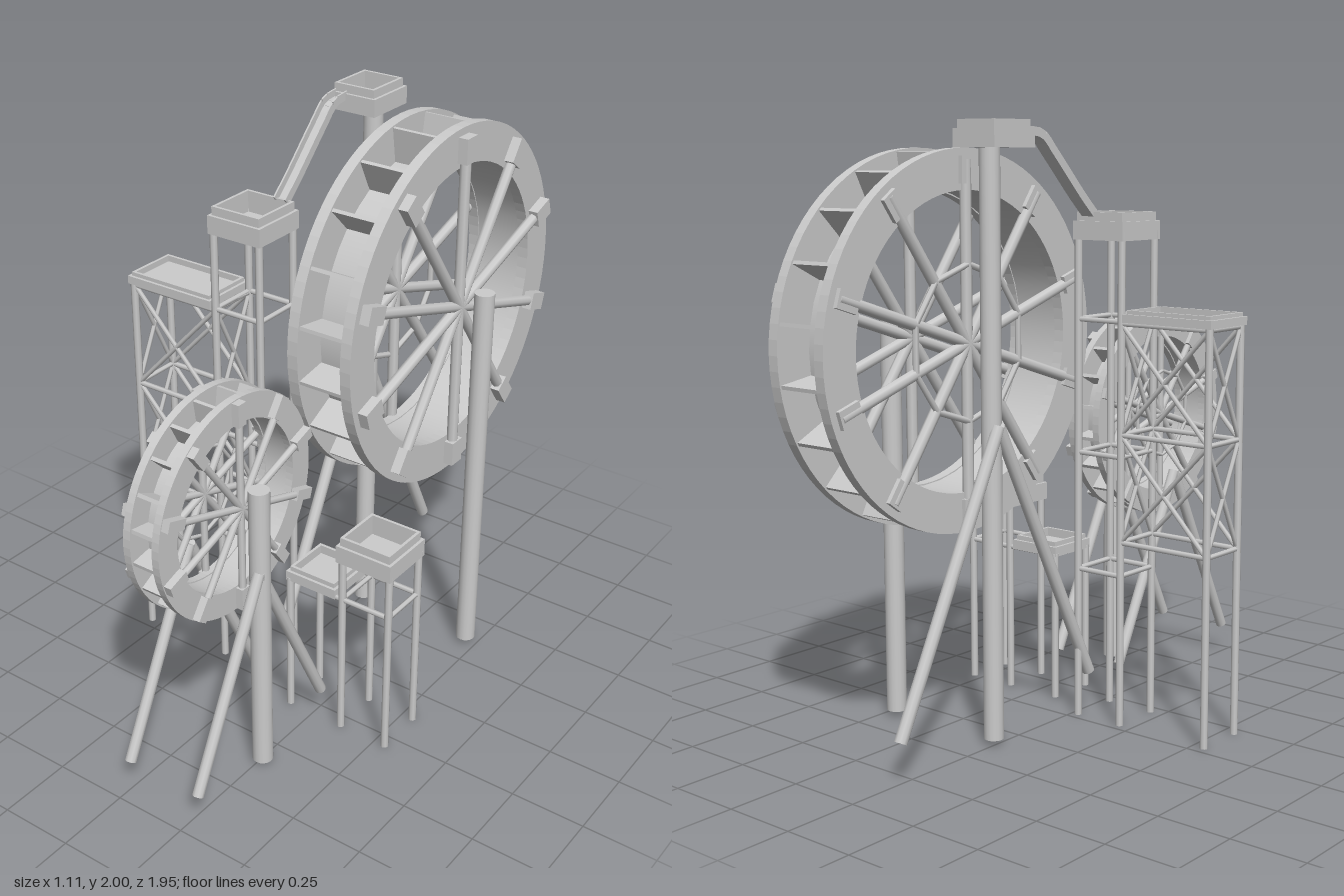
import * as THREE from 'three';

const mat = new THREE.MeshStandardMaterial({ color: 0xcccccc, side: THREE.DoubleSide });
const V = (x, y, z) => new THREE.Vector3(x, y, z);

function add(parent, name, geo, x = 0, y = 0, z = 0) {
  const m = new THREE.Mesh(geo, mat);
  m.name = name;
  m.position.set(x, y, z);
  parent.add(m);
  return m;
}

function group(parent, name) {
  const g = new THREE.Group();
  g.name = name;
  parent.add(g);
  return g;
}

// Straight round bar between two points
function rod(parent, name, a, b, r, sides = 8) {
  const m = add(parent, name, new THREE.CylinderGeometry(r, r, a.distanceTo(b), sides));
  m.position.copy(a).add(b).multiplyScalar(0.5);
  m.quaternion.setFromUnitVectors(V(0, 1, 0), b.clone().sub(a).normalize());
  return m;
}

// Rectangular frame of four walls
function frame(parent, name, x0, x1, z0, z1, y0, y1, t) {
  const h = y1 - y0, y = (y0 + y1) / 2;
  for (const x of [x0 + t / 2, x1 - t / 2])
    add(parent, name, new THREE.BoxGeometry(t, h, z1 - z0), x, y, (z0 + z1) / 2);
  for (const z of [z0 + t / 2, z1 - t / 2])
    add(parent, name, new THREE.BoxGeometry(x1 - x0 - 2 * t, h, t), (x0 + x1) / 2, y, z);
}

// Open water box: floor, outer band and slightly inset upper walls
function waterBox(parent, name, x0, x1, z0, z1, y0, y1) {
  const g = group(parent, name), i = 0.01, h = y1 - y0;
  add(g, 'boxFloor', new THREE.BoxGeometry(x1 - x0 - 0.02, 0.015, z1 - z0 - 0.02),
    (x0 + x1) / 2, y0 + 0.012, (z0 + z1) / 2);
  frame(g, 'boxBand', x0, x1, z0, z1, y0, y0 + h * 0.68, 0.012);
  frame(g, 'boxWall', x0 + i, x1 - i, z0 + i, z1 - i, y0, y1, 0.01);
}

// Legs at each corner and rails around at the given heights
function tower(parent, name, xs, zs, top, rails, braced) {
  const g = group(parent, name), r = 0.013, [x0, x1] = xs, [z0, z1] = zs;
  for (const x of xs) for (const z of zs) rod(g, 'leg', V(x, 0, z), V(x, top, z), r);
  const sides = [[x0, z0, x1, z0], [x0, z1, x1, z1], [x0, z0, x0, z1], [x1, z0, x1, z1]];
  for (const [ax, az, bx, bz] of sides) {
    rails.forEach((y, k) => {
      rod(g, 'rail', V(ax, y, az), V(bx, y, bz), 0.009, 6);
      if (!braced || k === 0) return;
      const up = rails[k - 1];
      rod(g, 'crossBrace', V(ax, y, az), V(bx, up, bz), 0.008, 6);
      rod(g, 'crossBrace', V(ax, up, az), V(bx, y, bz), 0.008, 6);
    });
  }
}

// Flat ring whose axis runs along x
function ringPlate(parent, name, outer, inner, x, t, seg) {
  const s = new THREE.Shape().absarc(0, 0, outer, 0, Math.PI * 2, false);
  s.holes.push(new THREE.Path().absarc(0, 0, inner, 0, Math.PI * 2, true));
  const geo = new THREE.ExtrudeGeometry(s, { depth: t, bevelEnabled: false, curveSegments: seg });
  geo.translate(0, 0, -t / 2).rotateY(Math.PI / 2);
  add(parent, name, geo, x);
}

// Bucket wheel with two rims, a drum, paddles and spokes on both faces
function wheel(parent, name, o) {
  const g = group(parent, name);
  g.position.set(o.x, o.y, o.z);
  const { R, r, half, t } = o;
  for (const s of [-1, 1]) ringPlate(g, 'rim', R, r, s * (half - t / 2), t, 40);
  const drum = new THREE.CylinderGeometry(r + 0.005, r + 0.005, 2 * half - t, 40, 1, true);
  add(g, 'drum', drum.rotateZ(Math.PI / 2));
  for (let i = 0; i < 20; i++) {
    const p = group(g, 'paddle');
    p.rotation.x = ((i + 0.5) * Math.PI) / 10;
    add(p, 'paddleBoard', new THREE.BoxGeometry(2 * half - t, R - r - 0.012, 0.012), 0, (R + r) / 2);
  }
  for (let i = 0; i < 10; i++) {
    const arm = group(g, 'spokeArm');
    arm.rotation.x = (i * Math.PI) / 5;
    for (const s of [-1, 1]) {
      const x = s * (half + (s > 0 ? 0.012 : 0));
      rod(arm, 'spoke', V(x, 0, 0), V(x, o.blockTop - 0.01, 0), o.spoke, 8);
      add(arm, 'spokeClamp', new THREE.BoxGeometry(s > 0 ? o.blockOut * 2 : 0.03, o.blockLen, o.blockW),
        s * half, o.blockTop - o.blockLen / 2);
    }
    // Small polygon of braces on the inner face
    const a = Math.PI / 5, x = -half - 0.008;
    rod(arm, 'hubBrace', V(x, o.hub, 0), V(x, o.hub * Math.cos(a), o.hub * Math.sin(a)), o.spoke * 0.55, 6);
  }
}

export function createModel() {
  const model = new THREE.Group();
  model.name = 'waterWheels';

  wheel(model, 'largeWheel', {
    x: 0.23, y: 1.305, z: -0.362, R: 0.61, r: 0.48, half: 0.118, t: 0.038,
    spoke: 0.019, blockTop: 0.585, blockLen: 0.085, blockW: 0.06, blockOut: 0.034, hub: 0.25,
  });
  wheel(model, 'smallWheel', {
    x: 0.13, y: 0.967, z: 0.615, R: 0.364, r: 0.28, half: 0.067, t: 0.026,
    spoke: 0.012, blockTop: 0.36, blockLen: 0.075, blockW: 0.036, blockOut: 0.026, hub: 0.155,
  });

  // Upright posts
  rod(model, 'tallPost', V(0.01, 0.02, -0.362), V(0.01, 1.94, -0.362), 0.033, 16);
  rod(model, 'outerPost', V(0.455, 0.02, -0.362), V(0.455, 1.38, -0.362), 0.034, 16);
  rod(model, 'smallWheelPost', V(0.263, 0.02, 0.595), V(0.263, 1.04, 0.595), 0.034, 16);

  // Splayed struts in pairs
  for (const [x, zc, top, foot, spread, r] of [
    [-0.02, -0.362, 1.05, 0.14, 0.455, 0.021],
    [0.0, 0.615, 0.76, 0.11, 0.325, 0.019],
    [0.275, 0.615, 0.76, 0.11, 0.325, 0.019],
  ]) {
    for (const s of [-1, 1]) rod(model, 'strut', V(x, foot, zc + s * spread), V(x, top, zc), r, 10);
  }

  // Towers and their boxes
  const zs = [0.035, 0.21];
  tower(model, 'tallTower', [-0.2, -0.022], zs, 1.65, [1.36, 0.915, 0.515], false);
  waterBox(model, 'tallTowerBox', -0.212, -0.008, 0.022, 0.225, 1.62, 1.71);
  tower(model, 'bracedTower', [-0.543, -0.2], zs, 1.37, [1.355, 0.99, 0.63], true);
  waterBox(model, 'longTrough', -0.557, -0.212, 0.022, 0.225, 1.36, 1.4);
  const lowZ = [0.125, 0.295];
  tower(model, 'lowTower', [0.363, 0.54], lowZ, 0.68, [0.515], false);
  waterBox(model, 'lowTowerBox', 0.345, 0.552, 0.11, 0.31, 0.66, 0.75);
  tower(model, 'lowTrayStand', [0.155, 0.363], lowZ, 0.52, [0.515], false);
  waterBox(model, 'lowTray', 0.145, 0.34, 0.115, 0.305, 0.51, 0.56);
  waterBox(model, 'topBox', -0.098, 0.072, -0.46, -0.272, 1.915, 2.0);

  // Curved open chute from the top box down to the tall tower
  const path = new THREE.CatmullRomCurve3([
    V(-0.062, 1.965, -0.29), V(-0.062, 1.955, -0.22), V(-0.062, 1.9, -0.16),
    V(-0.062, 1.76, -0.02), V(-0.062, 1.705, 0.04),
  ]);
  const u = new THREE.Shape([
    [-0.012, -0.024], [0.016, -0.024], [0.016, -0.018], [-0.006, -0.018],
    [-0.006, 0.018], [0.016, 0.018], [0.016, 0.024], [-0.012, 0.024],
  ].map(([a, b]) => new THREE.Vector2(b, a)));
  const pts = path.getSpacedPoints(16);
  for (let i = 0; i < 16; i++) {
    const d = pts[i + 1].clone().sub(pts[i]);
    const m = add(model, 'chute', new THREE.ExtrudeGeometry(u, { depth: d.length() + 0.002, bevelEnabled: false }));
    m.position.copy(pts[i]);
    m.lookAt(pts[i + 1]);
  }
  return model;
}
